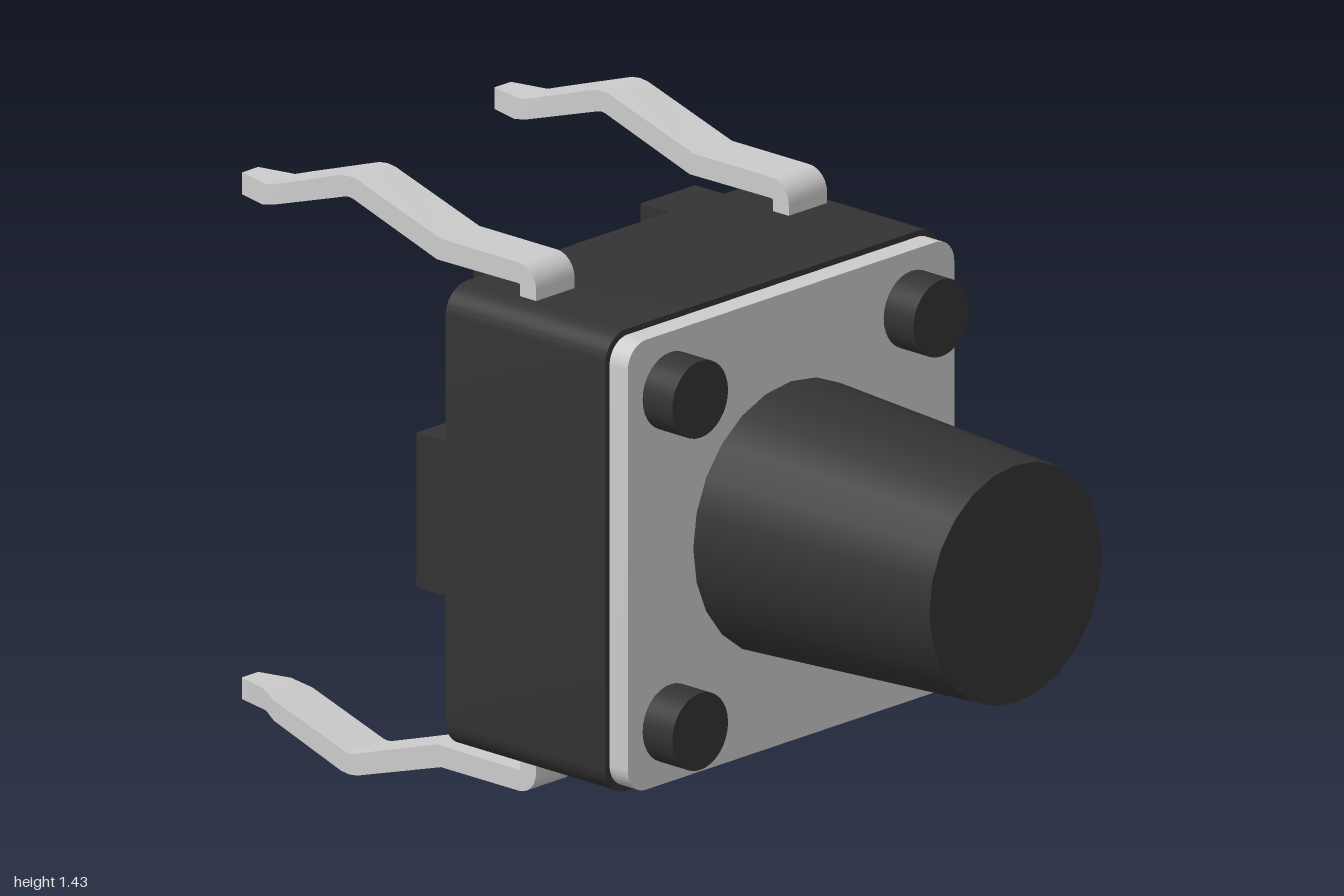
import * as THREE from 'three';
import { toCreasedNormals } from 'three/addons/utils/BufferGeometryUtils.js';

const CY = 0.717; // height of the switch axis
const dark = new THREE.MeshStandardMaterial({ color: 0x333333 });
const metal = new THREE.MeshStandardMaterial({ color: 0xcccccc });

function add(parent, name, geometry, material, x = 0, y = 0, z = 0) {
  const mesh = new THREE.Mesh(geometry, material);
  mesh.name = name;
  mesh.position.set(x, y, z);
  parent.add(mesh);
  return mesh;
}

// Square slab with rounded corners, from z = 0 to z = depth
function roundedSlab(half, r, depth) {
  const s = new THREE.Shape();
  const c = half - r;
  s.absarc(c, c, r, 0, Math.PI / 2);
  s.absarc(-c, c, r, Math.PI / 2, Math.PI);
  s.absarc(-c, -c, r, Math.PI, Math.PI * 1.5);
  s.absarc(c, -c, r, Math.PI * 1.5, Math.PI * 2);
  const g = new THREE.ExtrudeGeometry(s, { depth, bevelEnabled: false, curveSegments: 8 });
  return toCreasedNormals(g, 0.6);
}

// Cylinder along z, from z = 0 to z = length
function post(rFront, rBack, length, sides) {
  return new THREE.CylinderGeometry(rFront, rBack, length, sides)
    .rotateX(Math.PI / 2).translate(0, 0, length / 2);
}

// Bent strip: a segmented box whose rings are moved to stations along the leg
function legGeometry() {
  const w = 0.0635;
  // station: outer z, outer y, inner z, inner y, half width (y from the axis)
  const stations = [[-0.045, 0.48, -0.095, 0.48, w]];
  for (let i = 0; i <= 6; i++) {
    const a = (i / 6) * Math.PI / 2, c = Math.cos(a), s = Math.sin(a);
    stations.push([-0.1 + 0.055 * c, 0.578 + 0.055 * s, -0.1 + 0.005 * c, 0.578 + 0.005 * s, w]);
  }
  stations.push(
    [-0.343, 0.633, -0.355, 0.581, w],
    [-0.605, 0.714, -0.617, 0.665, w],
    [-0.63, 0.717, -0.63, 0.667, w],
    [-0.655, 0.714, -0.643, 0.665, w],
    [-0.865, 0.643, -0.865, 0.594, w],
    [-0.905, 0.631, -0.917, 0.579, 0.048],
    [-1, 0.631, -1, 0.579, 0.027]
  );
  const n = stations.length - 1;
  const g = new THREE.BoxGeometry(1, 1, 1, 1, 1, n);
  const p = g.attributes.position;
  for (let i = 0; i < p.count; i++) {
    const [zo, yo, zi, yi, half] = stations[Math.round((0.5 - p.getZ(i)) * n)];
    const outer = p.getY(i) > 0;
    p.setXYZ(i, Math.sign(p.getX(i)) * half, outer ? yo : yi, outer ? zo : zi);
  }
  return toCreasedNormals(g, 0.45);
}

export function createModel() {
  const root = new THREE.Group();
  root.name = 'pushButtonSwitch';

  // Housing and metal cover
  add(root, 'housing', roundedSlab(0.553, 0.07, 0.5), dark, 0, CY, -0.26);
  add(root, 'coverPlate', roundedSlab(0.539, 0.06, 0.057), metal, 0, CY, 0.24);

  // Tapered button
  add(root, 'button', post(0.285, 0.323, 0.71, 24), dark, 0, CY, 0.29);

  // Corner rivets
  for (const x of [-0.398, 0.398])
    for (const y of [-0.398, 0.398])
      add(root, 'rivet', post(0.092, 0.092, 0.1, 32), dark, x, CY + y, 0.29);

  // Back ribs with side tabs
  for (const side of [-1, 1]) {
    add(root, 'backRib', new THREE.BoxGeometry(0.18, 1.106, 0.1), dark, side * 0.276, CY, -0.3);
    add(root, 'backTab', new THREE.BoxGeometry(0.187, 0.37, 0.1), dark, side * 0.4595, CY, -0.3);
  }

  // Four bent legs; the lower pair is the upper pair turned half round
  const leg = legGeometry();
  for (const turn of [0, Math.PI]) {
    const pair = new THREE.Group();
    pair.name = turn ? 'lowerLegs' : 'upperLegs';
    pair.position.y = CY;
    pair.rotation.z = turn;
    for (const x of [-0.417, 0.417]) add(pair, 'leg', leg, metal, x);
    root.add(pair);
  }
  return root;
}
